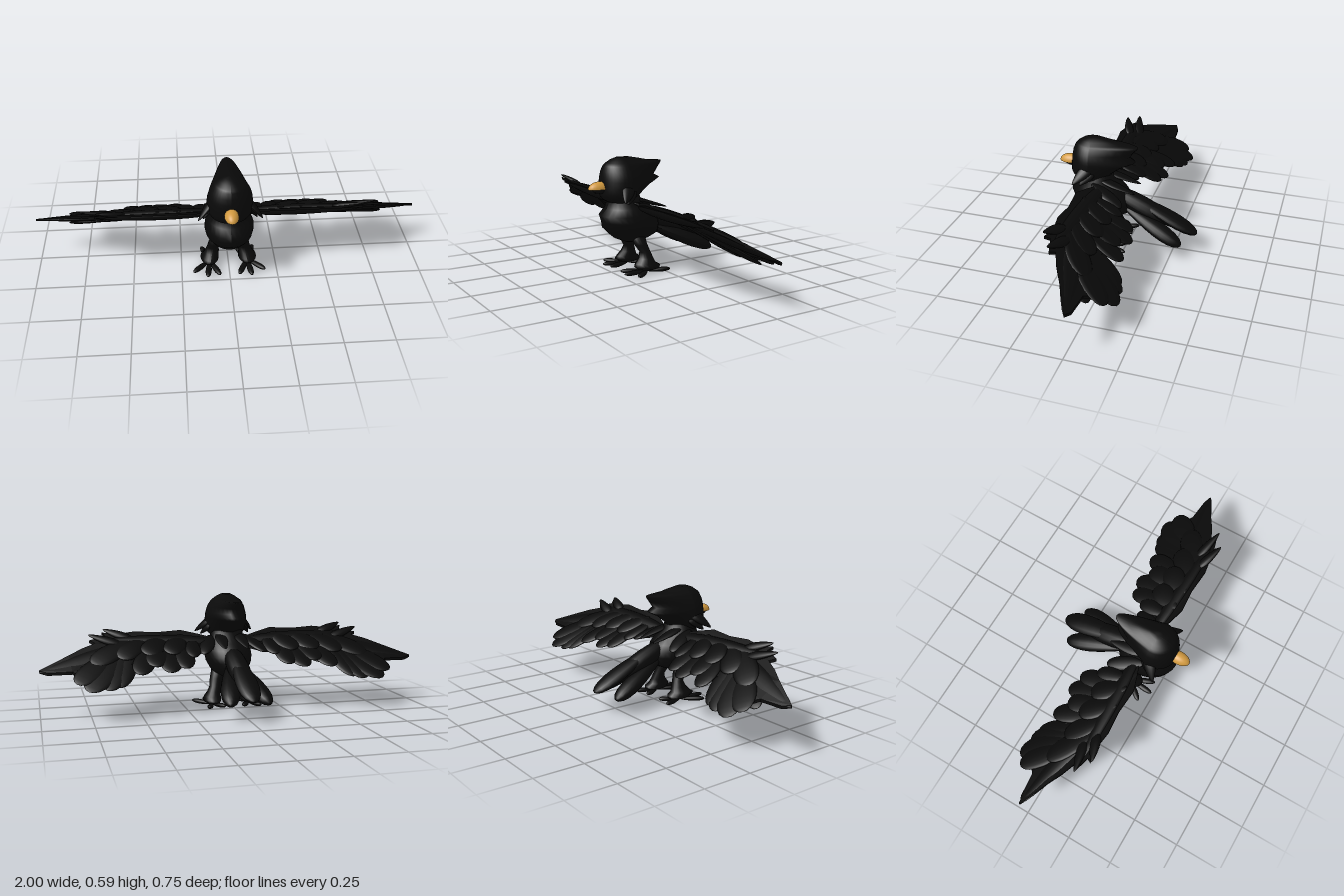
import * as THREE from 'three';

const black = new THREE.MeshStandardMaterial({ color: 0x090909 });
black.name = 'black plumage';
const gold = new THREE.MeshStandardMaterial({ color: 0xd29a40 });
gold.name = 'golden beak';

const V = (x, y, z) => new THREE.Vector3(x, y, z);

function add(parent, name, geometry, material = black) {
  const mesh = new THREE.Mesh(geometry, material);
  mesh.name = name;
  parent.add(mesh);
  return mesh;
}

// Closed surface through horizontal rings [y, zFront, zBack, halfWidth].
// mid: z of the widest point, point: sharpness towards the back.
function loft(rings, { cx = 0, mid = null, point = 1, sides = 28 } = {}) {
  const pos = [], index = [], n = sides + 1;
  const first = rings[0], last = rings[rings.length - 1];
  const cap = r => [r[0], (r[1] + r[2]) / 2, (r[1] + r[2]) / 2, 0];
  const all = [cap(first), ...rings, cap(last)];
  all.forEach(([y, zf, zb, w]) => {
    const m = mid === null ? (zf + zb) / 2 : Math.min(Math.max(mid, zb), zf);
    for (let j = 0; j < n; j++) {
      const a = (j / sides) * Math.PI * 2, c = Math.cos(a);
      const z = c > 0 ? m + (zf - m) * c : m - (m - zb) * Math.pow(-c, point);
      pos.push(cx + w * Math.sin(a), y, z);
    }
  });
  for (let i = 0; i < all.length - 1; i++) {
    for (let j = 0; j < sides; j++) {
      const a = i * n + j, b = a + 1, c = a + n, d = c + 1;
      index.push(a, b, c, b, d, c);
    }
  }
  const g = new THREE.BufferGeometry();
  g.setAttribute('position', new THREE.Float32BufferAttribute(pos, 3));
  g.setIndex(index);
  g.computeVertexNormals();
  return g;
}

// Flattened feather from base to tip; k > 0 widens the tip, k < 0 sharpens it.
function leaf(base, tip, halfWidth, halfThick, k = 0.3, up = V(0, 1, 0)) {
  const g = new THREE.SphereGeometry(1, 16, 12).rotateX(Math.PI / 2);
  const p = g.attributes.position;
  const len = base.distanceTo(tip);
  for (let i = 0; i < p.count; i++) {
    const z = p.getZ(i), f = 1 + k * z;
    p.setXYZ(i, p.getX(i) * halfWidth * f, p.getY(i) * halfThick * f, z * len / 2);
  }
  const dir = tip.clone().sub(base).normalize();
  const side = up.clone().cross(dir).normalize();
  const m = new THREE.Matrix4().makeBasis(side, dir.clone().cross(side), dir);
  m.setPosition(base.clone().add(tip).multiplyScalar(0.5));
  g.applyMatrix4(m);
  g.computeVertexNormals();
  return g;
}

// Wings fall towards the back, more steeply in the outer half.
function wingY(x, z) {
  const outer = THREE.MathUtils.smoothstep(Math.abs(x), 0.48, 0.64);
  const slope = z > 0.1 ? 0.66 : 0.48 + 0.16 * outer;
  return 0.328 + slope * (z - 0.1) - 0.012 * THREE.MathUtils.smoothstep(Math.abs(x), 0.8, 1);
}
const wingUp = V(0, 1, -0.6).normalize();

const wingOutline = [
  [0.08, 0.14], [0.16, 0.17], [0.25, 0.2], [0.38, 0.19], [0.5, 0.2], [0.6, 0.185], [0.67, 0.2],
  [0.655, 0.175], [0.74, 0.15], [0.71, 0.13], [0.78, 0.1], [0.85, 0.06], [0.93, 0.02],
  [1, -0.015], [0.96, -0.034], [0.84, -0.045], [0.8, -0.08], [0.7, -0.1], [0.62, -0.08],
  [0.55, -0.03], [0.47, -0.04], [0.35, -0.04], [0.25, 0.01], [0.14, 0.05], [0.08, 0.08],
];

// Feathers: base x, z, tip x, z, half width, base lift, tip lift
const wingFeathers = [
  [0.58, 0.1, 0.825, -0.135, 0.062, 0.004, 0.02], [0.55, 0.1, 0.77, -0.175, 0.068, 0.008, 0.012],
  [0.53, 0.1, 0.68, -0.165, 0.06, 0.012, 0.006], [0.51, 0.1, 0.625, -0.15, 0.052, 0.014, 0.004],
  [0.42, 0.12, 0.515, -0.125, 0.054, 0.008, 0.012], [0.38, 0.12, 0.43, -0.085, 0.055, 0.012, 0.018],
  [0.31, 0.12, 0.36, -0.125, 0.055, 0.008, 0.012], [0.26, 0.13, 0.275, -0.105, 0.05, 0.012, 0.016],
  [0.2, 0.14, 0.225, -0.03, 0.04, 0.012, 0.024],
  [0.5, 0.15, 0.74, -0.02, 0.06, 0.016, 0.022], [0.44, 0.15, 0.6, 0, 0.058, 0.018, 0.026],
  [0.35, 0.16, 0.46, 0, 0.058, 0.018, 0.026], [0.25, 0.16, 0.34, 0, 0.055, 0.018, 0.026],
  // lower layer
  [0.5, 0.12, 0.83, -0.05, 0.05, -0.01, -0.035], [0.45, 0.12, 0.68, -0.06, 0.05, -0.01, -0.03],
  [0.35, 0.13, 0.5, -0.04, 0.05, -0.01, -0.018],
];

function makeWing(s) {
  const wing = new THREE.Group();
  wing.name = s > 0 ? 'leftWing' : 'rightWing';
  const shape = new THREE.Shape(wingOutline.map(([x, z]) => new THREE.Vector2(s * x, -z)));
  const plate = new THREE.ExtrudeGeometry(shape, { depth: 0.014, bevelEnabled: false });
  plate.rotateX(-Math.PI / 2);
  const p = plate.attributes.position;
  for (let i = 0; i < p.count; i++) p.setY(i, p.getY(i) - 0.004 + wingY(p.getX(i), p.getZ(i)));
  plate.computeVertexNormals();
  add(wing, 'wingPlate', plate);
  const at = (x, z, lift) => V(s * x, wingY(x, z) + lift, z);
  wingFeathers.forEach(([bx, bz, tx, tz, w, baseLift, tipLift]) =>
    add(wing, 'wingFeather', leaf(at(bx, bz, baseLift), at(tx, tz, tipLift), w, 0.012, 0.35, wingUp)));
  // thick leading edge, wing tip and pointed feathers on the front edge
  add(wing, 'wingArm', leaf(at(0.05, 0.12, 0.002), at(0.68, 0.15, 0.002), 0.046, 0.028, -0.1, wingUp));
  add(wing, 'wingTip', leaf(at(0.5, 0.11, 0.004), at(1, -0.02, 0.004), 0.055, 0.018, -0.4, wingUp));
  add(wing, 'alula', leaf(at(0.52, 0.15, 0.01), at(0.665, 0.205, 0.022), 0.026, 0.014, -0.4, wingUp));
  add(wing, 'alula', leaf(at(0.57, 0.11, 0.01), at(0.745, 0.155, 0.035), 0.026, 0.014, -0.4, wingUp));
  // feathers covering the wing root
  add(wing, 'shoulderFeather', leaf(V(s * 0.09, 0.375, 0.17), V(s * 0.165, 0.3, -0.01), 0.04, 0.014, 0.1));
  add(wing, 'backFeather', leaf(V(s * 0.05, 0.385, 0.14), V(s * 0.06, 0.328, -0.05), 0.03, 0.01, -0.4));
  return wing;
}

function makeLeg(s) {
  const leg = new THREE.Group();
  leg.name = s > 0 ? 'leftLeg' : 'rightLeg';
  // feathered shank flaring above the foot, leaning in towards the hip
  const rings = [
    [0.018, 0.12, 0.06, 0.025], [0.027, 0.15, 0.025, 0.043], [0.04, 0.168, 0.022, 0.048],
    [0.055, 0.16, 0.048, 0.044], [0.08, 0.137, 0.058, 0.036], [0.11, 0.125, 0.069, 0.031],
    [0.15, 0.15, 0.083, 0.035], [0.2, 0.17, 0.09, 0.035],
  ];
  const g = loft(rings, { cx: s * 0.1, sides: 18 });
  const p = g.attributes.position;
  for (let i = 0; i < p.count; i++) p.setX(i, p.getX(i) - s * 0.26 * Math.max(0, p.getY(i) - 0.04));
  g.computeVertexNormals();
  add(leg, 'shank', g);
  const toes = [[0.05, 0.225], [0.115, 0.237], [0.188, 0.195], [0.05, -0.005], [0.14, -0.02]];
  toes.forEach(([x, z]) =>
    add(leg, 'toe', leaf(V(s * 0.1, 0.012, 0.095), V(s * x, 0.017, z), 0.015, 0.0115, 0.35)));
  return leg;
}

export function createModel() {
  const bird = new THREE.Group();
  bird.name = 'bird';

  add(bird, 'body', loft([
    [0.155, 0.165, 0.12, 0.025], [0.165, 0.19, 0.07, 0.06], [0.18, 0.225, 0.03, 0.083],
    [0.2, 0.25, -0.015, 0.1], [0.24, 0.29, -0.02, 0.12], [0.27, 0.293, -0.012, 0.126],
    [0.305, 0.306, 0.005, 0.124], [0.34, 0.272, 0.04, 0.11], [0.375, 0.258, 0.085, 0.09],
    [0.42, 0.25, 0.1, 0.08],
  ]));

  // head with a swept crest ending in two points
  add(bird, 'head', loft([
    [0.374, 0.265, 0.12, 0.08], [0.388, 0.288, 0.095, 0.098], [0.405, 0.3, 0.09, 0.108],
    [0.42, 0.305, 0.07, 0.114], [0.45, 0.303, 0.03, 0.116], [0.468, 0.302, -0.01, 0.114],
    [0.482, 0.301, -0.035, 0.113], [0.5, 0.299, 0, 0.11], [0.53, 0.294, -0.022, 0.101],
    [0.558, 0.282, -0.046, 0.083], [0.567, 0.274, -0.047, 0.075], [0.572, 0.266, 0.025, 0.067],
    [0.585, 0.248, 0.08, 0.05], [0.597, 0.215, 0.14, 0.025],
  ], { mid: 0.19, point: 1.9, sides: 36 }));

  // upper and lower beak
  const upper = new THREE.SphereGeometry(1, 24, 10, 0, Math.PI * 2, 0, Math.PI / 2);
  upper.scale(0.035, 0.038, 0.06).translate(0, 0.445, 0.315);
  add(bird, 'upperBeak', upper, gold);
  const under = new THREE.CircleGeometry(1, 24).rotateX(Math.PI / 2);
  under.scale(0.035, 1, 0.06).translate(0, 0.445, 0.315);
  add(bird, 'beakUnderside', under, gold);
  const lower = new THREE.SphereGeometry(1, 20, 12).scale(0.027, 0.023, 0.056);
  add(bird, 'lowerBeak', lower.translate(0, 0.443, 0.298));

  // tail feathers
  add(bird, 'tailRoot', leaf(V(0, 0.32, 0.12), V(0, 0.155, -0.24), 0.058, 0.05, 0.1));
  add(bird, 'tailCentreFeather', leaf(V(0, 0.31, 0.03), V(0, 0.112, -0.375), 0.053, 0.026, 0.5));

  for (const s of [1, -1]) {
    add(bird, 'tailSideFeather', leaf(V(s * 0.01, 0.25, 0.06), V(s * 0.1, 0.085, -0.31), 0.046, 0.033, 0.5));
    // cheek tufts
    add(bird, 'cheekTuft', leaf(V(s * 0.075, 0.47, 0.18), V(s * 0.16, 0.39, 0.255), 0.03, 0.016, -0.5, V(s, 0.8, 0)));
    add(bird, 'cheekTuft', leaf(V(s * 0.075, 0.45, 0.17), V(s * 0.135, 0.378, 0.225), 0.03, 0.016, -0.5, V(s, 0.8, 0)));
    bird.add(makeWing(s), makeLeg(s));
  }
  return bird;
}
